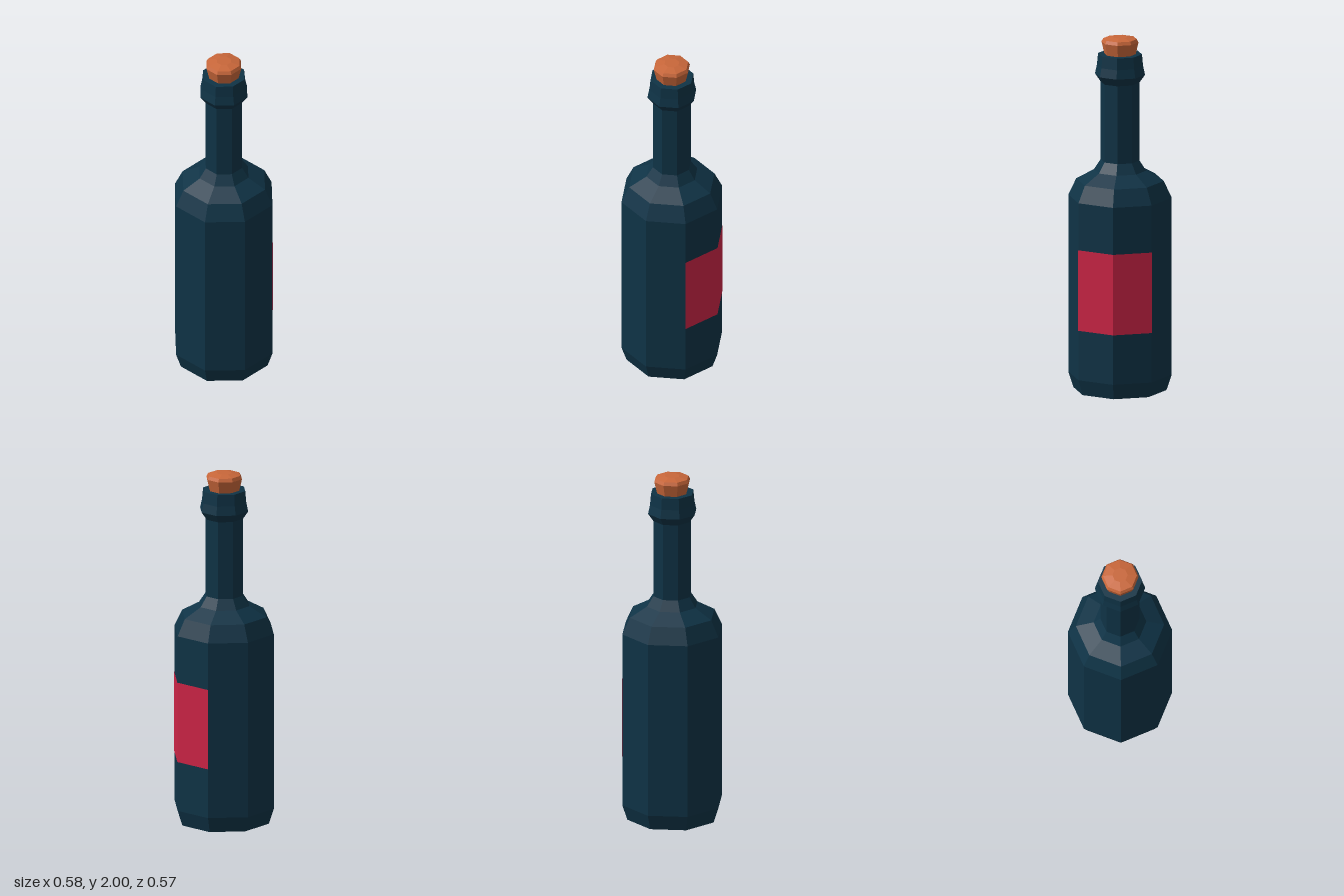
import * as THREE from 'three';

const SIDES = 8;

function material(name, color, side = THREE.FrontSide) {
  const m = new THREE.MeshStandardMaterial({ color, flatShading: true, side });
  m.name = name;
  return m;
}

// Faceted turned part from a bottom-to-top profile of [radius, height]
function turned(name, profile, mat, sides = SIDES, start = 0, sweep = Math.PI * 2) {
  const points = profile.map(([r, y]) => new THREE.Vector2(r, y));
  const mesh = new THREE.Mesh(new THREE.LatheGeometry(points, sides, start, sweep), mat);
  mesh.name = name;
  return mesh;
}

export function createModel() {
  const glass = material('dark glass', 0x0f3346);
  const paper = material('red label', 0xcc2446, THREE.DoubleSide);
  const cork = material('cork', 0xc9673a);

  const model = new THREE.Group();
  model.name = 'bottle';

  // Glass: recessed base, body, shoulder, neck and collar
  model.add(turned('glassBottle', [
    [0, 0.035], [0.12, 0.03], [0.2, 0.0], [0.258, 0.012],
    [0.287, 0.1], [0.287, 1.1],
    [0.243, 1.193], [0.145, 1.248], [0.108, 1.305],
    [0.108, 1.745], [0.139, 1.79], [0.128, 1.84], [0.122, 1.905], [0, 1.905],
  ], glass));

  // Label wrapped over the two faces on the left side
  model.add(turned('label', [[0.289, 0.38], [0.289, 0.835]], paper, 2, Math.PI / 4, Math.PI / 2));

  // Stopper with bevelled, slightly domed top
  model.add(turned('corkStopper', [
    [0.086, 1.9], [0.103, 1.972], [0.093, 1.99], [0.042, 2.0], [0, 2.0],
  ], cork));

  return model;
}
